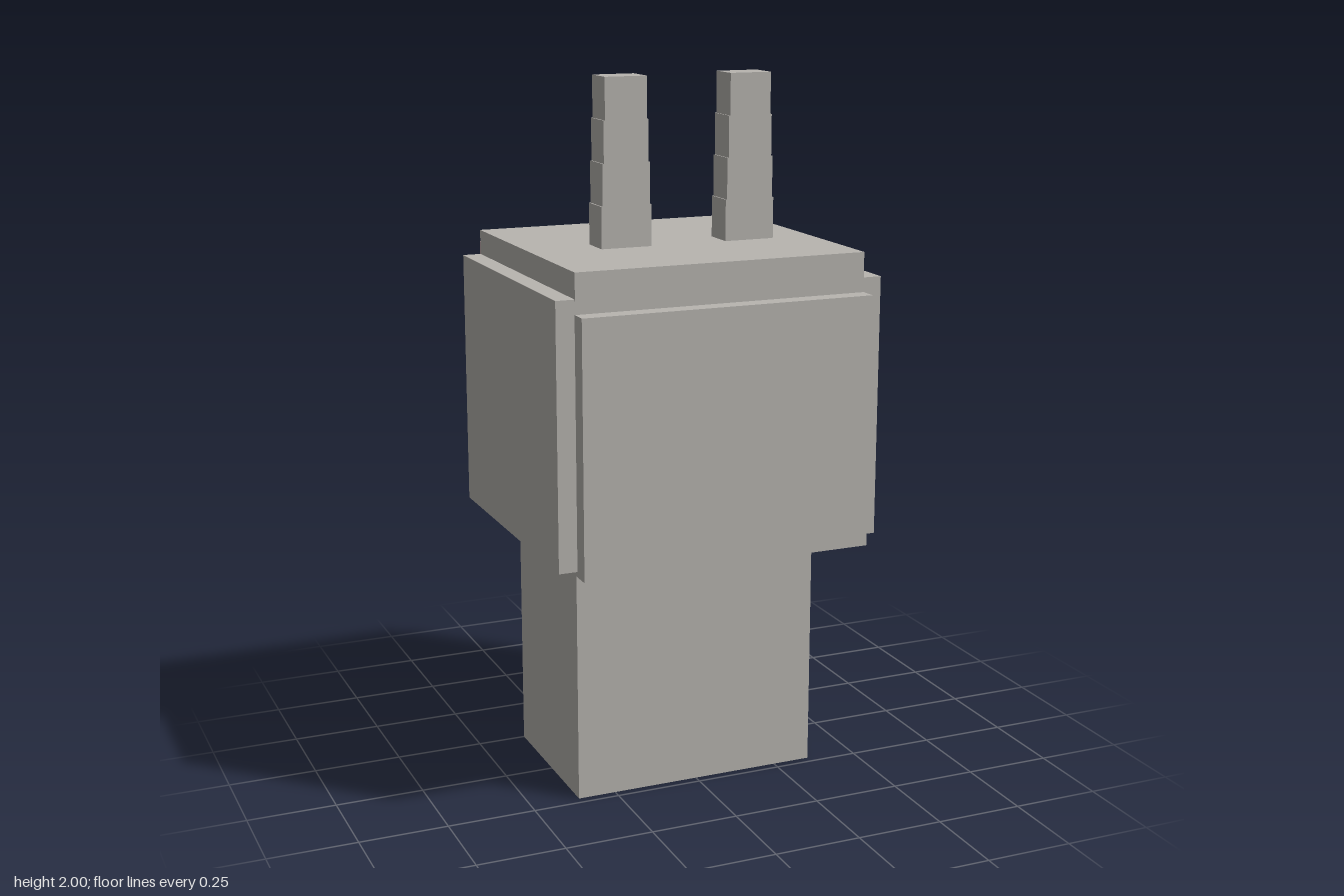
import * as THREE from 'three';

const mat = (name, color) => Object.assign(new THREE.MeshStandardMaterial({ color }), { name });

export function createModel() {
  const model = new THREE.Group();
  model.name = 'hoodedFigure';
  const grey = mat('warm grey', 0xb8b5b0);
  const pink = mat('dusty pink', 0xc6a5ae);
  const purple = mat('muted violet', 0x9a95c4);
  const yellow = mat('dull yellow', 0xb8b07c);

  // Box given by its min and max on each axis
  function box(name, material, [x0, x1], [y0, y1], [z0, z1], parent = model) {
    const mesh = new THREE.Mesh(new THREE.BoxGeometry(x1 - x0, y1 - y0, z1 - z0), material);
    mesh.position.set((x0 + x1) / 2, (y0 + y1) / 2, (z0 + z1) / 2);
    mesh.name = name;
    parent.add(mesh);
    return mesh;
  }

  // Body
  box('body', grey, [-0.36, 0.36], [0, 0.72], [-0.25, 0.225]);
  box('backStrip', grey, [-0.095, 0.095], [0.095, 0.63], [-0.3, -0.25]);
  box('pinkPocket', pink, [0.148, 0.24], [0.095, 0.21], [-0.3, -0.25]);
  box('greyPocket', grey, [-0.245, -0.155], [0.07, 0.18], [-0.3, -0.25]);
  for (const y of [0.26, 0.39]) box('button', yellow, [-0.03, 0.03], [y, y + 0.048], [-0.32, -0.3]);

  // Collar clasp, an upside-down U
  const u = new THREE.Shape([
    [-0.115, 0.48], [-0.027, 0.48], [-0.027, 0.64], [0.027, 0.64],
    [0.027, 0.48], [0.115, 0.48], [0.115, 0.735], [-0.115, 0.735],
  ].map(([x, y]) => new THREE.Vector2(x, y)));
  const clasp = new THREE.Mesh(new THREE.ExtrudeGeometry(u, { depth: 0.075, bevelEnabled: false }), pink);
  clasp.position.z = -0.335;
  clasp.name = 'clasp';
  model.add(clasp);

  // Hollow hood, open at the back and below
  const hood = new THREE.Group();
  hood.name = 'hood';
  model.add(hood);
  box('hoodTop', grey, [-0.417, 0.417], [1.405, 1.53], [-0.392, 0.392], hood);
  box('hoodPanel', grey, [-0.418, 0.418], [0.715, 1.42], [0.32, 0.443], hood);
  for (const s of [-1, 1]) {
    const span = (a, b) => (s > 0 ? [a, b] : [-b, -a]);
    box('hoodSide', grey, span(0.37, 0.47), [0.73, 1.46], [-0.391, 0.391], hood);
    box('hoodPost', grey, span(0.277, 0.418), [0.74, 1.39], [-0.443, -0.32], hood);
  }
  box('browBand', pink, [-0.405, 0.405], [1.35, 1.49], [-0.435, -0.36], hood);
  box('browTrim', purple, [-0.41, 0.41], [1.312, 1.35], [-0.442, -0.31], hood);

  // Ears: four stacked blocks that narrow upward, with a pink inset
  for (const s of [-1, 1]) {
    const ear = new THREE.Group();
    ear.name = s > 0 ? 'leftEar' : 'rightEar';
    ear.position.x = s * 0.182;
    model.add(ear);
    const step = (2 - 1.545) / 4;
    for (let i = 0; i < 4; i++) {
      const w = 0.072 - i * 0.004, y = 1.545 + i * step;
      box('earBlock', grey, [-w, w], [y, y + step], [0.07, 0.162], ear);
    }
    box('innerEar', pink, [-0.04, 0.04], [1.555, 1.89], [0.065, 0.07], ear);
  }
  return model;
}
